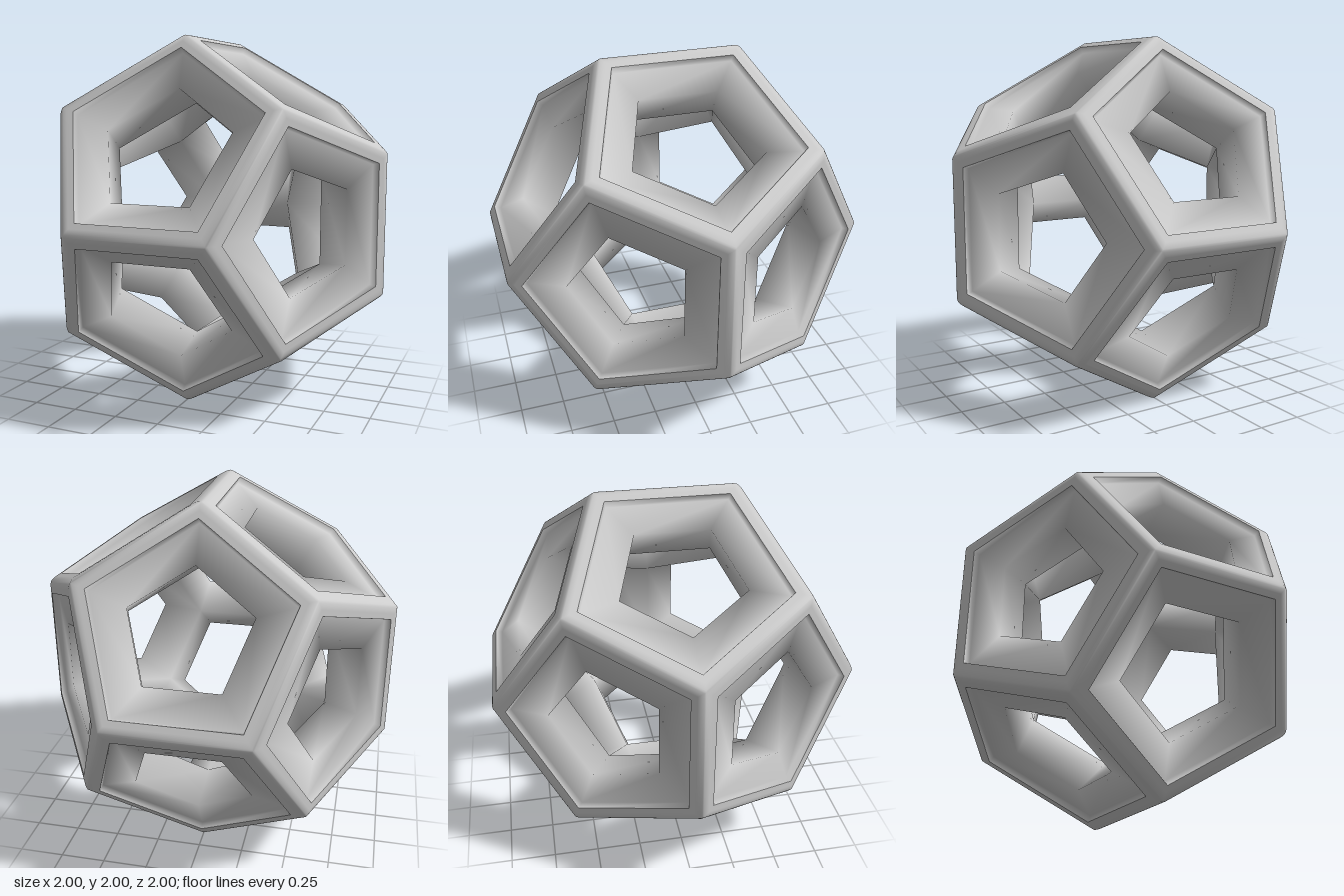
import * as THREE from 'three';
import { mergeVertices } from 'three/addons/utils/BufferGeometryUtils.js';

// The 12 face normals and 20 corners of a dodecahedron whose edges lie 1 from the centre
const SIGNS = [-1, 1];
const A = 0.5257, B = 0.8507, G = 0.618, E = 0.382;
const normals = [], corners = [];
for (const a of SIGNS) for (const b of SIGNS) {
  normals.push([0, a * A, b * B], [b * B, 0, a * A], [a * A, b * B, 0]);
  corners.push([a * E, 0, b], [0, b, a * E], [b, a * E, 0]);
  for (const c of SIGNS) corners.push([a * G, b * G, c * G]);
}

// Corners of one face, counter-clockwise seen from outside
function faceCorners(n) {
  const list = corners.map(c => new THREE.Vector3(...c)).filter(c => c.dot(n) > 0.8);
  const centre = n.clone().multiplyScalar(0.8507);
  const u = list[0].clone().sub(centre).normalize();
  const v = n.clone().cross(u);
  const angle = p => Math.atan2(p.dot(v), p.dot(u));
  return { centre, list: list.sort((p, q) => angle(p) - angle(q)) };
}

// Sweep a profile of [size, height] around every face; both are fractions of the full face
function sweepFaces(profileOf) {
  const pos = [];
  for (const normal of normals) {
    const { centre, list } = faceCorners(new THREE.Vector3(...normal).normalize());
    const rings = profileOf(normal).map(([size, height]) => list.map(p =>
      p.clone().sub(centre).multiplyScalar(size).addScaledVector(centre, height)));
    for (let r = 0; r < rings.length - 1; r++) for (let i = 0; i < 5; i++) {
      const j = (i + 1) % 5;
      const a = rings[r][i], b = rings[r][j], c = rings[r + 1][j], d = rings[r + 1][i];
      for (const p of [a, b, c, a, c, d]) pos.push(p.x, p.y, p.z);
    }
  }
  const raw = new THREE.BufferGeometry();
  raw.setAttribute('position', new THREE.Float32BufferAttribute(pos, 3));
  const geometry = mergeVertices(raw, 1e-3);
  geometry.computeVertexNormals();
  return geometry;
}

export function createModel() {
  const group = new THREE.Group();
  group.name = 'openDodecahedron';
  const material = new THREE.MeshStandardMaterial({ color: 0xcccccc });
  const add = (name, profileOf) => {
    const mesh = new THREE.Mesh(sweepFaces(profileOf), material);
    mesh.name = name;
    mesh.position.y = 1;
    group.add(mesh);
  };

  // Rounded ridge along every edge, ending in a narrow flat rim
  const radius = 0.07, base = 0.93, steps = 5, half = Math.asin(A);
  const ridge = [];
  for (let i = 0; i <= steps; i++) {
    const t = half * (1 - i / steps);
    ridge.push([base + radius * Math.sin(t) / A, base + radius * Math.cos(t) / B]);
  }
  const rim = [0.868, base + radius / B];
  add('roundedEdges', () => [...ridge, rim]);

  // Step below the rim, sunken border, hole lip and wall widening to the inner ridge of the bars;
  // the two front faces and one upper face have wider, deeper lips
  add('holeBorders', ([x, y, z]) => {
    const wide = z > 0.8 || (y > 0.8 && x > 0);
    return [rim, [0.85, 0.97], wide ? [0.57, 0.908] : [0.525, 0.95], [0.643, 0.643]];
  });
  return group;
}
